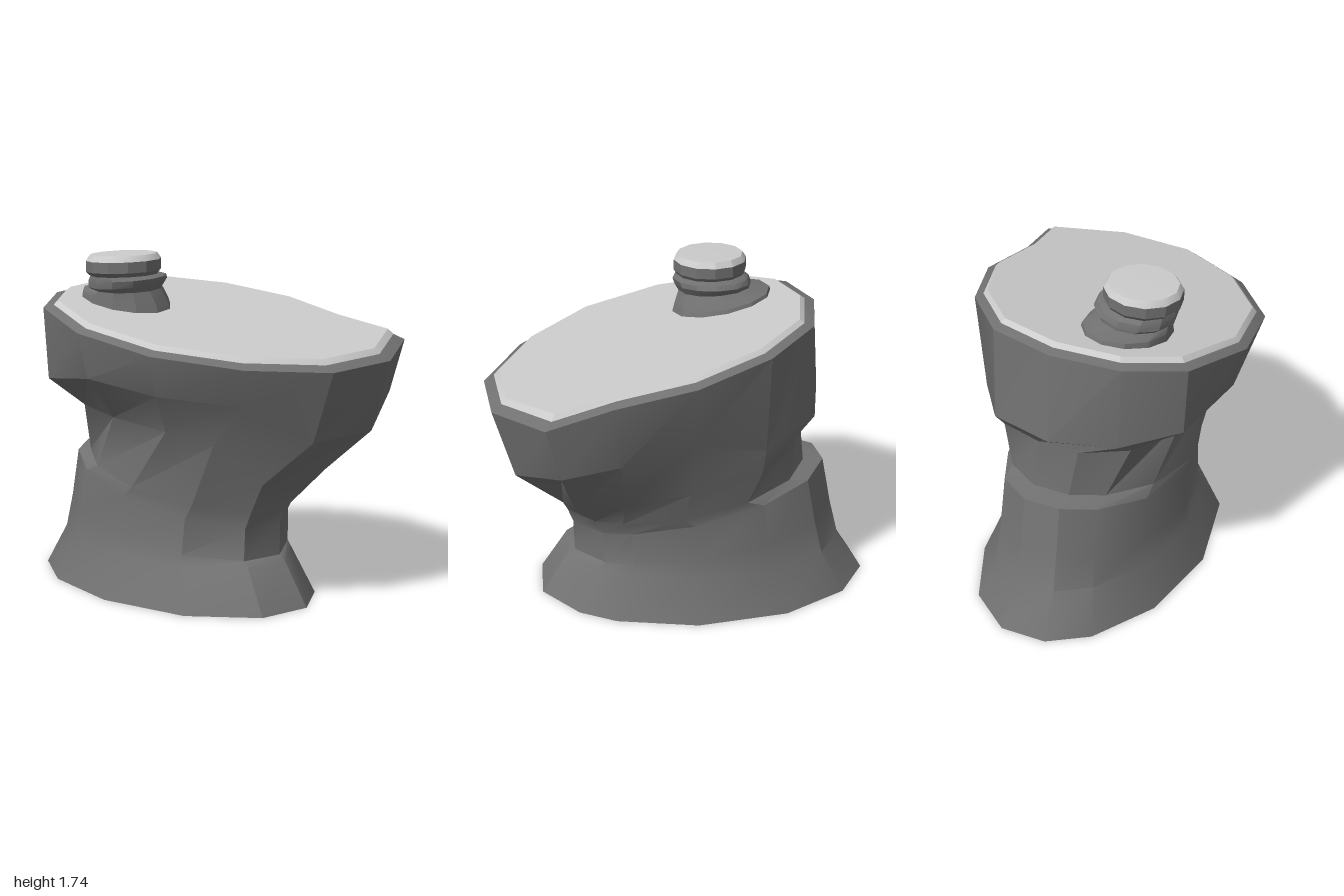
import * as THREE from 'three';
import { toCreasedNormals } from 'three/addons/utils/BufferGeometryUtils.js';

const dark = new THREE.MeshStandardMaterial({ color: 0x727272, side: THREE.DoubleSide });
const light = new THREE.MeshStandardMaterial({ color: 0xd2d2d2, side: THREE.DoubleSide });

// Rim outline of the head (x, z), from the back round by the +x side
const RIM = [
  [-0.10, -0.71], [0.25, -0.64], [0.53, -0.38], [0.70, 0.0], [0.71, 0.40], [0.78, 0.73], [0.42, 0.97],
  [0, 1.0], [-0.39, 0.80], [-0.68, 0.46], [-0.78, 0.02], [-0.68, -0.41], [-0.44, -0.63],
];

// Lower edge of the head: a sharp overhang in front, straight on the +x side
const JAW = [
  [-0.10, 1.06, -0.74], [0.25, 1.04, -0.66], [0.49, 0.98, -0.37], [0.60, 1.08, 0], [0.66, 1.02, 0.37],
  [0.75, 1.02, 0.66], [0.40, 0.88, 0.87], [-0.02, 0.87, 0.89], [-0.35, 1.06, 0.74], [-0.62, 1.10, 0.43],
  [-0.72, 1.15, 0.02], [-0.66, 1.10, -0.40], [-0.43, 1.07, -0.63],
];

// Where the head meets the neck
const CHIN = [
  [0.02, 0.95, -0.63], [0.27, 0.92, -0.55], [0.45, 0.83, -0.36], [0.47, 0.75, 0], [0.46, 0.69, 0.33],
  [0.40, 0.66, 0.58], [0.16, 0.58, 0.63], [-0.14, 0.64, 0.66], [-0.36, 0.85, 0.55], [-0.48, 0.90, 0.33],
  [-0.49, 0.92, -0.08], [-0.40, 0.93, -0.45], [-0.20, 0.95, -0.62],
];

// Skin a stack of equal-length loops; an optional apex closes the top
function loft(name, material, rings, apex, crease) {
  const n = rings[0].length;
  const index = [];
  for (let k = 0; k < rings.length - 1; k++) {
    for (let i = 0; i < n; i++) {
      const a = k * n + i, b = k * n + (i + 1) % n;
      index.push(a, a + n, b, b, a + n, b + n);
    }
  }
  const points = rings.flat();
  if (apex) {
    const last = (rings.length - 1) * n;
    for (let i = 0; i < n; i++) index.push(last + i, points.length, last + (i + 1) % n);
    points.push(apex);
  }
  const geometry = new THREE.BufferGeometry();
  geometry.setAttribute('position', new THREE.Float32BufferAttribute(points.flat(), 3));
  geometry.setIndex(index);
  const mesh = new THREE.Mesh(toCreasedNormals(geometry, crease), material);
  mesh.name = name;
  return mesh;
}

// Oval loop inside given limits, sloping front to back, its columns turned slightly from the rim's
function ovalRing([x0, x1, z0, z1, yFront, yBack]) {
  return RIM.map(([x, z]) => {
    const t = Math.atan2((z - 0.145) / 0.855, x / 0.78) + 0.28;
    const u = Math.cos(t), v = Math.sin(t);
    return [
      (x0 + x1) / 2 + u * (x1 - x0) / 2,
      THREE.MathUtils.lerp(yFront, yBack, (1 - v) / 2),
      (z0 + z1) / 2 + v * (z1 - z0) / 2,
    ];
  });
}

// Rim loop on the sloping top, inset and raised
function rimRing(scale, lift) {
  return RIM.map(([x, z]) => {
    const pz = 0.145 + (z - 0.145) * scale;
    return [x * scale, 1.22 + 0.187 * (1 - pz) + 0.03 * x + lift, pz];
  });
}

// Twelve-sided loop, tilted along x and z
function spoutRing([x, y, z, rx, rz, tiltX, tiltZ]) {
  return Array.from({ length: 12 }, (_, i) => {
    const t = (i / 12) * Math.PI * 2;
    const dx = rx * Math.sin(t), dz = -rz * Math.cos(t);
    return [x + dx, y + tiltX * dx + tiltZ * dz, z + dz];
  });
}

export function createModel() {
  const group = new THREE.Group();
  group.name = 'spoutedVessel';

  // Flared foot, stepped waist and overhanging head, open underneath
  const lower = [
    [-0.615, 0.52, -1.01, 0.775, 0, 0],
    [-0.525, 0.43, -0.87, 0.63, 0.22, 0.22],
    [-0.505, 0.42, -0.82, 0.59, 0.24, 0.42],
    [-0.49, 0.41, -0.77, 0.59, 0.40, 0.68],
    [-0.485, 0.43, -0.66, 0.62, 0.49, 0.69],
  ].map(ovalRing);
  const bandEdge = rimRing(0.94, 0.022);
  group.add(loft('body', dark, [...lower, CHIN, JAW, rimRing(1, 0), bandEdge], null, 0.5));

  // Bright bevel and shallow lid rising towards the spout
  const lidEdge = rimRing(0.91, 0.045);
  group.add(loft('rimBevel', light, [bandEdge, lidEdge], null, 0.35));
  group.add(loft('lid', light, [lidEdge], [-0.27, 1.49, -0.25], 0.6));

  // Off-centre spout: sloping base, slanted thread and collar
  const spout = [
    [-0.265, 1.47, -0.255, 0.22, 0.265, 0, -0.17],
    [-0.27, 1.52, -0.255, 0.21, 0.25, 0, -0.15],
    [-0.29, 1.56, -0.22, 0.18, 0.19, 0.08, -0.05],
    [-0.29, 1.585, -0.21, 0.205, 0.20, 0.12, 0],
    [-0.30, 1.615, -0.20, 0.20, 0.20, 0.08, 0],
    [-0.32, 1.63, -0.20, 0.175, 0.175, 0.05, 0],
    [-0.325, 1.65, -0.20, 0.195, 0.19, 0.04, 0],
    [-0.325, 1.705, -0.20, 0.195, 0.19, 0.04, 0],
  ].map(spoutRing);
  group.add(loft('spout', dark, spout, null, 0.45));

  // Bevelled cap on the spout
  const capTop = spoutRing([-0.325, 1.735, -0.20, 0.175, 0.17, 0.04, 0]);
  group.add(loft('cap', light, [spout.at(-1), capTop], [-0.325, 1.74, -0.20], 0.45));

  return group;
}
